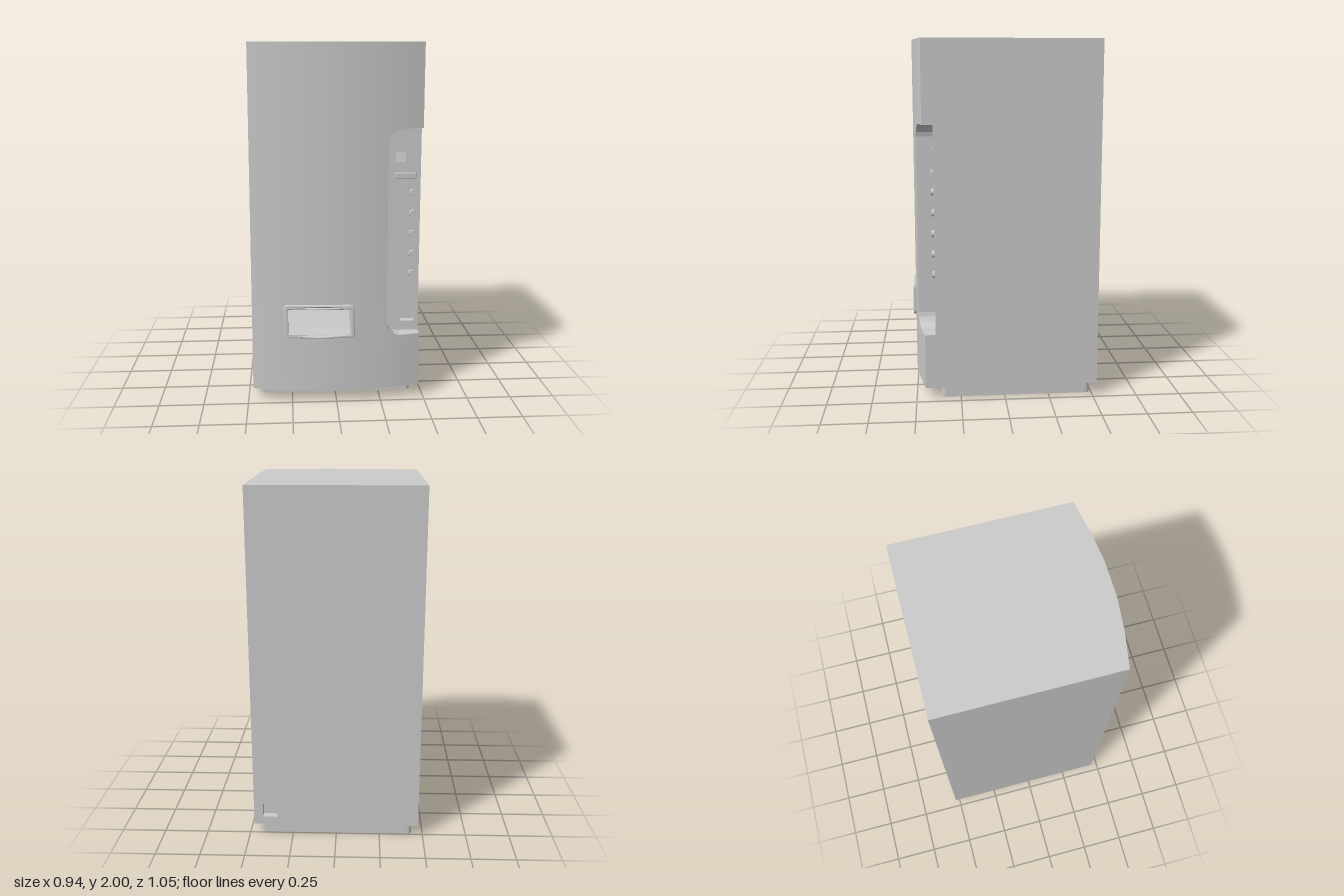
import * as THREE from 'three';
import { mergeGeometries } from 'three/addons/utils/BufferGeometryUtils.js';
import { RoundedBoxGeometry } from 'three/addons/geometries/RoundedBoxGeometry.js';

const W = 0.472, BOTTOM = 0.07, TOP = 2, BACK = -0.525, CORE = 0.28, PANEL = 0.39;
// dispenser opening
const HOLE = { x0: -0.275, x1: 0.082, y0: 0.405, y1: 0.555 };

// depth of the faceted bowed front at a given x
function bow(x) {
  const p = [[0, 0.505], [0.1, 0.505], [0.28, 0.486], [W, 0.45]];
  const a = Math.min(Math.abs(x), W);
  const i = a <= 0.1 ? 0 : a <= 0.28 ? 1 : 2;
  const t = (a - p[i][0]) / (p[i + 1][0] - p[i][0]);
  return p[i][1] + t * (p[i + 1][1] - p[i][1]);
}

const polygon = (pts) => new THREE.Shape(pts.map(([x, y]) => new THREE.Vector2(x, y)));
const rectPoints = (x0, y0, x1, y1) => [[x0, y0], [x1, y0], [x1, y1], [x0, y1]];

// rectangular plate with one rectangular hole
function plateWithHole(outer, inner, depth) {
  const s = polygon(rectPoints(...outer));
  s.holes.push(polygon(rectPoints(...inner)));
  return new THREE.ExtrudeGeometry(s, { depth, bevelEnabled: false });
}

// block of the front shell whose front face follows the bow
function frontBlock(pts) {
  const g = new THREE.ExtrudeGeometry(polygon(pts), { depth: 1, bevelEnabled: false });
  const p = g.attributes.position, n = g.attributes.normal, v = new THREE.Vector3();
  for (let i = 0; i < p.count; i++) {
    const front = p.getZ(i) > 0.5;
    p.setZ(i, front ? bow(p.getX(i)) : CORE);
    if (front && n.getZ(i) > 0.5) {
      v.set(p.getX(i) * 0.53, 0, 1).normalize();
      n.setXYZ(i, v.x, v.y, v.z);
    }
  }
  return g;
}

export function createModel() {
  const model = new THREE.Group();
  const material = new THREE.MeshStandardMaterial({ color: 0xcccccc });
  function add(name, geometry, x = 0, y = 0, z = 0, parent = model) {
    const mesh = new THREE.Mesh(geometry, material);
    mesh.name = name;
    mesh.position.set(x, y, z);
    parent.add(mesh);
    return mesh;
  }
  const box = (x0, x1, y0, y1, z0, z1) =>
    new THREE.BoxGeometry(x1 - x0, y1 - y0, z1 - z0)
      .translate((x0 + x1) / 2, (y0 + y1) / 2, (z0 + z1) / 2);

  // base plinth with rounded vertical corners
  const plinth = new THREE.Shape();
  const bx = 0.438, z0 = -0.49, z1 = 0.36, r = 0.03;
  plinth.moveTo(-bx + r, -z1).lineTo(bx - r, -z1);
  plinth.quadraticCurveTo(bx, -z1, bx, -z1 + r).lineTo(bx, -z0 - r);
  plinth.quadraticCurveTo(bx, -z0, bx - r, -z0).lineTo(-bx + r, -z0);
  plinth.quadraticCurveTo(-bx, -z0, -bx, -z0 - r).lineTo(-bx, -z1 + r);
  plinth.quadraticCurveTo(-bx, -z1, -bx + r, -z1);
  add('base', new THREE.ExtrudeGeometry(plinth, { depth: 0.08, bevelEnabled: false, curveSegments: 6 })
    .rotateX(-Math.PI / 2));

  // cabinet and back plate with a square socket
  add('cabinet', box(-W, W, BOTTOM, TOP, BACK + 0.04, CORE));
  add('backPlate', plateWithHole([-W, BOTTOM, W, TOP], [0.34, 0.115, 0.42, 0.195], 0.04), 0, 0, BACK);

  // front shell, in vertical strips left open at the dispenser
  const blocks = [];
  const xs = [-W, -0.28, HOLE.x0, -0.1, HOLE.x1, 0.1, 0.28];
  for (let i = 0; i < xs.length - 1; i++) {
    const a = xs[i], b = xs[i + 1];
    if (a >= HOLE.x0 && b <= HOLE.x1) {
      blocks.push(frontBlock(rectPoints(a, BOTTOM, b, HOLE.y0)));
      blocks.push(frontBlock(rectPoints(a, HOLE.y1, b, TOP)));
    } else blocks.push(frontBlock(rectPoints(a, BOTTOM, b, TOP)));
  }
  // strip above and below the control recess, with rounded recess corners
  const lo = 0.38, hi = 1.545;
  const corner = [[0.28, 0.075], [0.286, 0.05], [0.303, 0.025], [0.327, 0.007], [0.355, 0], [W, 0]];
  blocks.push(frontBlock([[0.28, TOP], ...corner.map(([x, d]) => [x, hi - d]), [W, TOP]]));
  blocks.push(frontBlock([[0.28, BOTTOM], ...corner.map(([x, d]) => [x, lo + d]), [W, BOTTOM]]));
  add('frontShell', mergeGeometries(blocks));

  // sloping back of the dispenser
  const slope = polygon([[CORE, HOLE.y0], [0.4, HOLE.y0], [0.3, HOLE.y1], [CORE, HOLE.y1]]);
  add('dispenserSlope', new THREE.ExtrudeGeometry(slope, { depth: HOLE.x1 - HOLE.x0, bevelEnabled: false })
    .rotateY(-Math.PI / 2), HOLE.x1);

  // raised rim around the dispenser, bent to the bow
  const [l, rt, b, t, c] = [-0.29, 0.095, 0.39, 0.57, 0.022];
  const rim = new THREE.Shape();
  rim.moveTo(l + c, b).lineTo(-0.1, b).lineTo(rt - c, b);
  rim.quadraticCurveTo(rt, b, rt, b + c).lineTo(rt, t - c);
  rim.quadraticCurveTo(rt, t, rt - c, t).lineTo(-0.1, t).lineTo(l + c, t);
  rim.quadraticCurveTo(l, t, l, t - c).lineTo(l, b + c);
  rim.quadraticCurveTo(l, b, l + c, b);
  rim.holes.push(polygon([[HOLE.x0, HOLE.y0], [-0.1, HOLE.y0], [HOLE.x1, HOLE.y0],
    [HOLE.x1, HOLE.y1], [-0.1, HOLE.y1], [HOLE.x0, HOLE.y1]]));
  const rimGeo = new THREE.ExtrudeGeometry(rim, {
    depth: 0.02, bevelThickness: 0.005, bevelSize: 0.005, bevelSegments: 2, curveSegments: 4,
  });
  const rp = rimGeo.attributes.position;
  for (let i = 0; i < rp.count; i++) rp.setZ(i, rp.getZ(i) + bow(rp.getX(i)) - 0.008);
  rimGeo.computeVertexNormals();
  add('dispenserRim', rimGeo);

  // control panel at the bottom of the recess, with a coin return pocket
  const controls = new THREE.Group();
  controls.name = 'controls';
  model.add(controls);
  add('controlPanel', plateWithHole([0.28, lo, W, hi], [0.37, 0.435, 0.448, 0.513], PANEL - CORE),
    0, 0, CORE, controls);
  add('coinReturnFloor', box(0.36, 0.455, 0.43, 0.52, CORE, 0.345), 0, 0, 0, controls);

  // payment plate with coin slot and note slot
  add('paymentPlate', box(0.315, 0.456, 1.24, 1.425, PANEL - 0.01, PANEL + 0.004), 0, 0, 0, controls);
  const coin = box(0.33, 0.384, 1.355, 1.41, PANEL - 0.01, PANEL + 0.02);
  const cp = coin.attributes.position;
  for (let i = 0; i < cp.count; i++) {
    if (cp.getY(i) > 1.4 && cp.getZ(i) > PANEL) cp.setZ(i, PANEL + 0.009);
  }
  coin.computeVertexNormals();
  add('coinSlot', coin, 0, 0, 0, controls);
  add('noteSlot', new RoundedBoxGeometry(0.12, 0.035, 0.03, 2, 0.004), 0.385, 1.277, PANEL, controls);

  // column of selection buttons
  for (let i = 0; i < 5; i++) {
    add('button', new THREE.CylinderGeometry(0.018, 0.022, 0.025, 20).rotateX(Math.PI / 2),
      0.43, 1.18 - i * 0.1155, PANEL + 0.001, controls);
  }
  return model;
}
